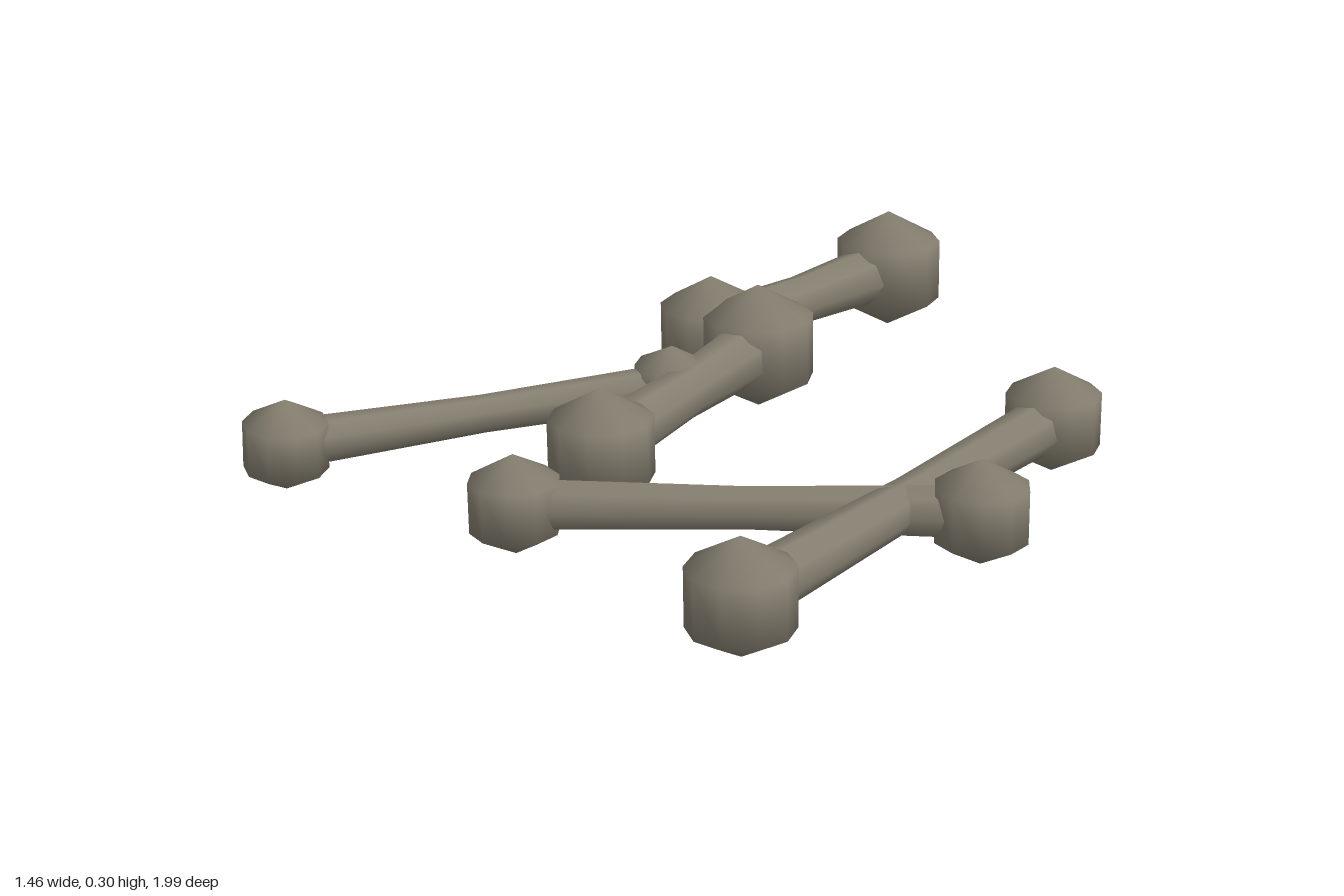
import * as THREE from 'three';

const boneMat = new THREE.MeshStandardMaterial({ color: 0x857f70 });
boneMat.name = 'old bone';

// One bone: a waisted shaft between two faceted knobs; ends are [x, y, z, knobRadius]
function makeBone(name, a, b, roll = 0) {
  const bone = new THREE.Group();
  bone.name = name;
  const start = new THREE.Vector3(a[0], a[1], a[2]);
  const end = new THREE.Vector3(b[0], b[1], b[2]);
  const dir = end.clone().sub(start);
  const length = dir.length();
  const yaw = Math.atan2(dir.x, dir.z);

  // shaft, narrower in the middle
  const profile = [
    new THREE.Vector2(a[3] * 0.51, 0),
    new THREE.Vector2((a[3] + b[3]) * 0.21, length / 2),
    new THREE.Vector2(b[3] * 0.51, length),
  ];
  const shaft = new THREE.Mesh(new THREE.LatheGeometry(profile, 8), boneMat);
  shaft.name = 'shaft';
  shaft.position.copy(start);
  shaft.quaternion.setFromUnitVectors(new THREE.Vector3(0, 1, 0), dir.normalize());
  bone.add(shaft);

  // knobs, poles upright
  for (const [p, r] of [[start, a[3]], [end, b[3]]]) {
    const knob = new THREE.Mesh(new THREE.SphereGeometry(r, 10, 3), boneMat);
    knob.name = 'knob';
    knob.position.copy(p);
    knob.rotation.set(0, yaw, roll, 'ZYX');
    bone.add(knob);
  }
  return bone;
}

export function createModel() {
  const model = new THREE.Group();
  model.name = 'scatteredBones';
  model.add(
    makeBone('backBone', [-0.6, 0.16, -0.87, 0.15], [-0.535, 0.16, -0.22, 0.14]),
    makeBone('middleBone', [-0.39, 0.16, -0.24, 0.15], [-0.143, 0.16, 0.43, 0.133]),
    makeBone('thinBone', [-0.33, 0.16, 0.08, 0.095], [-0.635, 0.147, 0.905, 0.106], -0.08),
    makeBone('lowerCrossedBone', [-0.04, 0.148, 0.74, 0.11], [0.63, 0.147, 0.062, 0.116]),
    makeBone('upperCrossedBone', [0.387, 0.153, -0.415, 0.122], [0.615, 0.153, 0.7, 0.126]),
  );
  return model;
}
